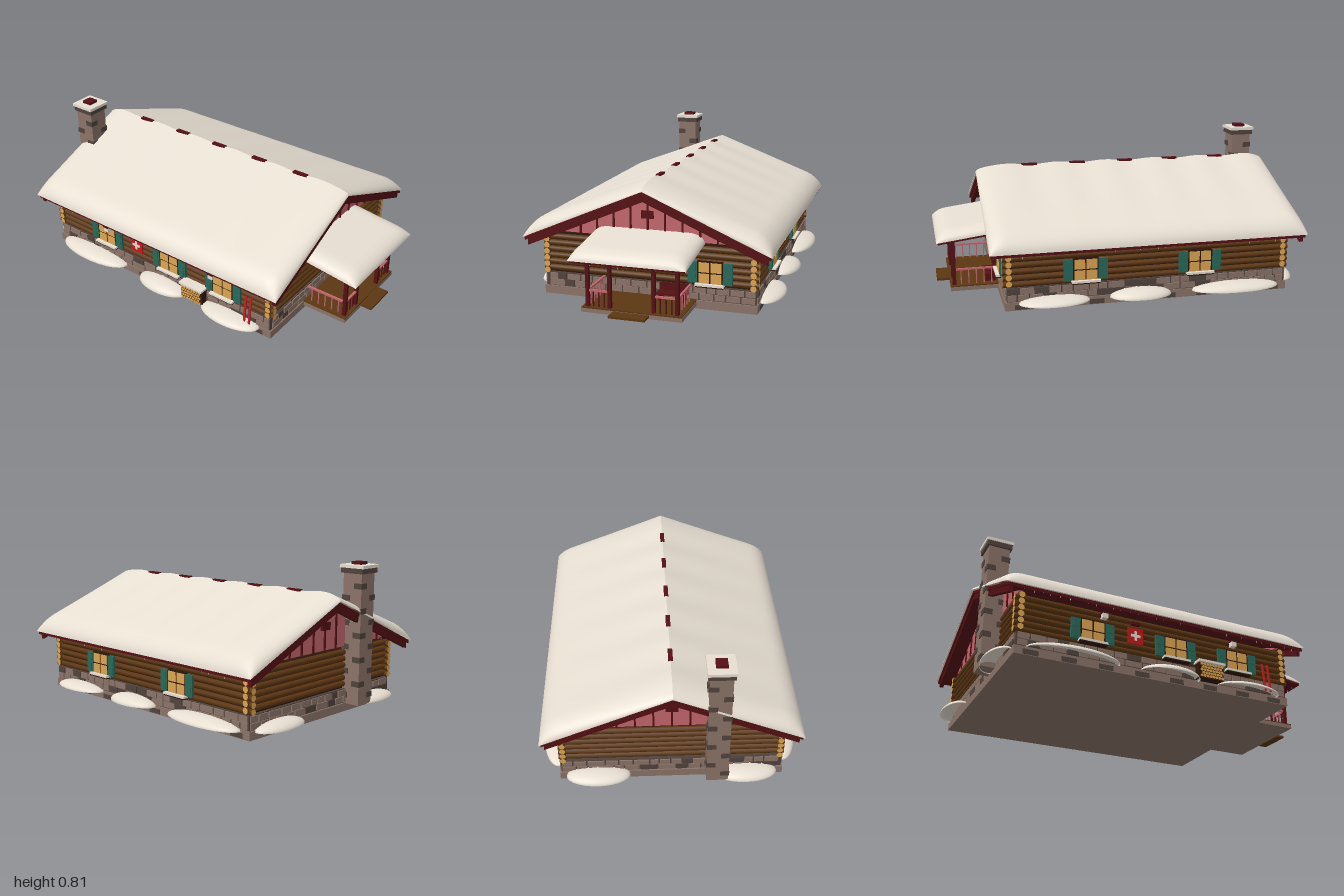
import * as THREE from 'three';

const mat = (name, color, side = THREE.FrontSide) => {
  const m = new THREE.MeshStandardMaterial({ color, side });
  m.name = name;
  return m;
};

export function createModel() {
  const snow = mat('snow', 0xeee5d8, THREE.DoubleSide);
  const stone = mat('stone', 0x8a7368);
  const darkStone = mat('darkStone', 0x51433d);
  const log = mat('log', 0x5c3612);
  const darkWood = mat('darkWood', 0x2c1508);
  const amber = mat('amber', 0xdca552);
  const maroon = mat('maroon', 0x541014);
  const rose = mat('rose', 0xc2666c);
  const red = mat('red', 0xc01a1c);
  const green = mat('green', 0x28685a);

  const model = new THREE.Group();
  model.name = 'logCabin';
  let seed = 7;
  const rand = () => (seed = (seed * 16807) % 2147483647) / 2147483647;

  const add = (name, geo, material, parent = model, x = 0, y = 0, z = 0) => {
    const m = new THREE.Mesh(geo, material);
    m.name = name;
    m.position.set(x, y, z);
    parent.add(m);
    return m;
  };
  const group = (name, parent = model) => {
    const g = new THREE.Group();
    g.name = name;
    parent.add(g);
    return g;
  };
  // Box given by its lower and upper limits on each axis
  const box = (name, material, x0, x1, y0, y1, z0, z1, parent = model) =>
    add(name, new THREE.BoxGeometry(x1 - x0, y1 - y0, z1 - z0), material, parent,
      (x0 + x1) / 2, (y0 + y1) / 2, (z0 + z1) / 2);

  // Foundation with darker blocks, and stone plinth
  const XL = -0.885, XR = 0.655, ZW = 0.575;
  box('foundation', stone, -0.905, 0.67, 0, 0.045, -0.595, 0.595);
  for (let i = 0; i < 8; i++) {
    const x = -0.82 + i * 0.2;
    for (const s of [-1, 1])
      add('foundationBlock', new THREE.BoxGeometry(0.08, 0.026, 0.006), darkStone, model, x, 0.017, s * 0.595);
  }
  box('plinth', darkStone, XL - 0.01, XR + 0.005, 0.045, 0.122, -0.587, 0.587);
  const stones = group('plinthStones');
  const stoneFace = (len, place) => {
    for (let row = 0; row < 2; row++) {
      let p = -len / 2;
      while (p < len / 2 - 0.02) {
        const w = Math.min(0.05 + rand() * 0.05, len / 2 - p);
        const m = add('stoneBlock', new THREE.BoxGeometry(w - 0.008, 0.03 + rand() * 0.004, 0.012),
          rand() < 0.8 ? stone : darkStone, stones);
        place(m, p + w / 2, 0.066 + row * 0.036);
        p += w;
      }
    }
  };
  const cx = (XL + XR) / 2;
  for (const s of [-1, 1]) {
    stoneFace(1.55, (m, p, y) => m.position.set(cx + p, y, s * 0.588));
    stoneFace(1.17, (m, p, y) => {
      m.position.set(s > 0 ? XR + 0.006 : XL - 0.011, y, p);
      m.rotation.y = Math.PI / 2;
    });
  }

  // Log walls with pale sawn ends crossing at the corners
  box('wallCore', darkWood, XL + 0.01, XR - 0.01, 0.1, 0.335, -ZW, ZW);
  const logs = group('logWalls');
  const logMats = [log, amber, amber];
  for (let i = 0; i < 6; i++) {
    const y = 0.139 + i * 0.035;
    for (const s of [-1, 1]) {
      const a = add('longLog', new THREE.CylinderGeometry(0.0165, 0.0165, 1.59, 12), logMats, logs, cx, y, s * 0.573);
      a.rotation.z = Math.PI / 2;
      const b = add('crossLog', new THREE.CylinderGeometry(0.0165, 0.0165, 1.195, 12), logMats, logs,
        s > 0 ? XR - 0.007 : XL + 0.007, y + 0.008, 0);
      b.rotation.x = Math.PI / 2;
    }
  }

  // Roof deck and verge boards are chevrons extruded along x
  const chevron = (name, material, top, half, thick, x0, x1) => {
    const e = top - 0.43 * half;
    const s = new THREE.Shape([[0, top], [-half, e], [-half, e - thick], [0, top - thick], [half, e - thick], [half, e]]
      .map(p => new THREE.Vector2(...p)));
    const g = new THREE.ExtrudeGeometry(s, { depth: x1 - x0, bevelEnabled: false });
    g.rotateY(Math.PI / 2);
    add(name, g, material, model, x0, 0, 0);
  };
  chevron('roofDeck', maroon, 0.621, 0.67, 0.018, -0.975, 0.745);
  chevron('vergeBoard', maroon, 0.619, 0.655, 0.05, 0.715, 0.738);
  chevron('vergeBoard', maroon, 0.619, 0.655, 0.05, -0.968, -0.945);

  // Gables with battens and a small loft window
  for (const s of [-1, 1]) {
    const g = group('gable');
    g.position.x = s > 0 ? XR - 0.01 : XL + 0.01;
    g.rotation.y = s * Math.PI / 2;
    const tri = new THREE.Shape([[-0.575, 0.355], [0.575, 0.355], [0, 0.603]].map(p => new THREE.Vector2(...p)));
    add('gableWall', new THREE.ExtrudeGeometry(tri, { depth: 0.02, bevelEnabled: false }), rose, g, 0, 0, -0.01);
    for (let i = -5; i <= 5; i++) {
      const h = 0.24 - Math.abs(i) * 0.095 * 0.43;
      add('batten', new THREE.BoxGeometry(0.01, h, 0.01), maroon, g, i * 0.095, 0.355 + h / 2, 0.012);
    }
    add('loftWindow', new THREE.BoxGeometry(0.065, 0.04, 0.02), maroon, g, 0, 0.485, 0.015);
  }

  // Rounded snow blanket: a grid lifted by a rule
  const sheet = (name, fx, fz, fy, nx, nz) => {
    const g = new THREE.PlaneGeometry(1, 1, nx, nz).rotateX(-Math.PI / 2);
    const p = g.attributes.position;
    for (let i = 0; i < p.count; i++) {
      const x = fx(p.getX(i) + 0.5), z = fz(p.getZ(i) + 0.5);
      p.setXYZ(i, x, fy(x, z), z);
    }
    g.computeVertexNormals();
    return add(name, g, snow);
  };
  const ease = u => 0.5 - 0.5 * Math.cos(Math.PI * u);
  const round = (d, r) => Math.sqrt(Math.max(0, 1 - Math.max(0, 1 - d / r) ** 2));
  const roofY = (x, z) => {
    const a = Math.abs(z);
    const edge = round(Math.min(x + 0.985, 0.752 - x), 0.1) * round(0.68 - a, 0.1);
    return 0.625 - 0.43 * a + edge * (0.036 + 0.055 * a + 0.005 * Math.cos(x * 22) * (1 - a / 0.68));
  };
  const along = u => -0.985 + 1.737 * ease(u);
  sheet('roofSnowFront', along, v => 0.68 * Math.sin(v * Math.PI / 2), roofY, 60, 18);
  sheet('roofSnowBack', along, v => -0.68 * Math.sin((1 - v) * Math.PI / 2), roofY, 60, 18);
  for (const x of [-0.68, -0.395, -0.12, 0.165, 0.445])
    box('ridgeCap', maroon, x - 0.045, x + 0.045, 0.645, 0.663, -0.012, 0.012);

  // Icicles under the eaves
  const icicles = group('icicles');
  const icicle = (x, y, z) => {
    const h = 0.012 + rand() * 0.025;
    add('icicle', new THREE.ConeGeometry(0.004, h, 5), snow, icicles, x, y - h / 2, z).rotation.x = Math.PI;
  };
  for (let i = 0; i < 36; i++) for (const s of [-1, 1]) icicle(-0.95 + i * 0.0475 + rand() * 0.02, 0.334, s * 0.665);
  for (let i = 0; i < 11; i++) icicle(0.975, 0.312, -0.25 + i * 0.05);

  // Chimney
  const chimney = group('chimney');
  box('chimneyStack', stone, -0.982, -0.867, 0.04, 0.76, 0.18, 0.295, chimney);
  for (let i = 0; i < 10; i++)
    for (const [x, z, k] of [[-0.962, 0.275, 0], [-0.887, 0.2, 0], [-0.962, 0.2, 1], [-0.887, 0.275, 1]])
      if (i % 2 === k)
        add('quoin', new THREE.BoxGeometry(0.048, 0.03, 0.048), darkStone, chimney, x, 0.09 + i * 0.066, z);
  box('chimneyCap', darkStone, -0.993, -0.856, 0.75, 0.78, 0.17, 0.305, chimney);
  box('capSnow', snow, -1, -0.85, 0.778, 0.795, 0.165, 0.31, chimney);
  box('flue', maroon, -0.955, -0.895, 0.79, 0.81, 0.208, 0.268, chimney);

  // Shuttered windows, built facing +z
  const windowAt = (x, z, turn) => {
    const g = group('window');
    g.position.set(x, 0.2, z);
    g.rotation.y = turn;
    add('windowFrame', new THREE.BoxGeometry(0.138, 0.126, 0.014), darkWood, g);
    for (const sx of [-1, 1]) {
      for (const sy of [-1, 1])
        add('pane', new THREE.BoxGeometry(0.057, 0.053, 0.006), amber, g, sx * 0.0325, sy * 0.03, 0.007);
      add('shutter', new THREE.BoxGeometry(0.05, 0.116, 0.014), green, g, sx * 0.094, 0, 0.002);
      for (const sy of [-1, 1])
        add('shutterPanel', new THREE.BoxGeometry(0.032, 0.042, 0.006), green, g, sx * 0.094, sy * 0.027, 0.009);
    }
    add('sill', new THREE.BoxGeometry(0.15, 0.01, 0.03), darkWood, g, 0, -0.07, 0.01);
    add('sillSnow', new THREE.BoxGeometry(0.155, 0.012, 0.034), snow, g, 0, -0.062, 0.012);
  };
  for (const x of [-0.497, -0.022, 0.355]) windowAt(x, 0.592, 0);
  for (const x of [-0.395, 0.24]) windowAt(x, -0.592, Math.PI);
  windowAt(0.667, -0.342, Math.PI / 2);

  // Banner with a cross
  const banner = group('banner');
  box('bannerCloth', red, -0.304, -0.217, 0.176, 0.266, 0.596, 0.604, banner);
  box('crossUpright', snow, -0.268, -0.253, 0.195, 0.249, 0.603, 0.607, banner);
  box('crossBar', snow, -0.288, -0.233, 0.2145, 0.2295, 0.603, 0.607, banner);
  box('bannerBracket', maroon, -0.285, -0.235, 0.285, 0.3, 0.59, 0.61, banner);

  // Wall lanterns
  for (const x of [-0.45, 0.31]) {
    box('lanternBracket', darkWood, x - 0.006, x + 0.006, 0.296, 0.306, 0.585, 0.645);
    box('lantern', snow, x - 0.015, x + 0.015, 0.264, 0.29, 0.62, 0.65);
    box('lanternCap', maroon, x - 0.018, x + 0.018, 0.29, 0.297, 0.617, 0.653);
  }

  // Firewood rack
  const rack = group('firewoodRack');
  box('rackBack', darkWood, 0.095, 0.24, 0.048, 0.135, 0.59, 0.635, rack);
  for (let r = 0; r < 5; r++)
    for (let c = 0; c < 8 - r % 2; c++)
      add('splitLog', new THREE.CylinderGeometry(0.0085, 0.0085, 0.05, 8), logMats, rack,
        0.106 + (c + r % 2 * 0.5) * 0.0175, 0.058 + r * 0.0165, 0.62).rotation.x = Math.PI / 2;
  box('rackSnow', snow, 0.088, 0.247, 0.135, 0.148, 0.59, 0.65, rack);

  // Skis leaning on the front wall
  for (const x of [0.515, 0.547]) {
    const ski = add('ski', new THREE.BoxGeometry(0.012, 0.165, 0.006), red, model, x, 0.135, 0.612);
    ski.rotation.x = -0.12;
  }

  // Snow drifts
  const drift = (x, z, rx, rz, h) =>
    add('snowDrift', new THREE.SphereGeometry(1, 28, 8, 0, Math.PI * 2, 0, Math.PI / 2), snow, model, x, 0.036, z)
      .scale.set(rx, h, rz);
  for (const s of [-1, 1]) {
    drift(-0.6, s * 0.605, 0.25, 0.092, 0.04);
    drift(-0.06, s * 0.605, 0.17, 0.09, 0.045);
    drift(0.41, s * 0.605, 0.19, 0.09, 0.035);
    drift(-0.92, s * 0.39, 0.08, 0.17, 0.04);
  }

  // Porch
  const porch = group('porch');
  box('porchSlab', stone, 0.66, 0.93, 0.018, 0.04, -0.27, 0.27, porch);
  box('porchFloor', log, 0.66, 0.93, 0.04, 0.046, -0.268, 0.268, porch);
  box('step', log, 0.92, 0.998, 0.026, 0.038, -0.097, 0.097, porch);
  for (const z of [-0.24, -0.115, 0.12, 0.24])
    box('porchPost', maroon, 0.899, 0.919, 0.045, 0.318, z - 0.009, z + 0.009, porch);
  box('porchBeam', maroon, 0.897, 0.921, 0.298, 0.318, -0.27, 0.27, porch);
  for (const s of [-1, 1]) {
    const z = s * 0.24, za = Math.min(s * 0.12, z), zb = Math.max(s * 0.12, z);
    box('sideRail', rose, 0.675, 0.905, 0.127, 0.137, z - 0.006, z + 0.006, porch);
    box('frontRail', rose, 0.903, 0.915, 0.127, 0.137, za, zb, porch);
    for (let i = 0; i < 5; i++)
      box('baluster', rose, 0.7 + i * 0.042, 0.706 + i * 0.042, 0.046, 0.128, z - 0.003, z + 0.003, porch);
    for (let i = 1; i < 4; i++) {
      const b = za + i * 0.03;
      box('baluster', maroon, 0.906, 0.912, 0.046, 0.128, b - 0.003, b + 0.003, porch);
    }
  }
  box('benchSeat', maroon, 0.67, 0.74, 0.08, 0.09, -0.23, -0.07, porch);
  box('benchBack', maroon, 0.67, 0.68, 0.08, 0.13, -0.23, -0.07, porch);
  for (const z of [-0.22, -0.09]) box('benchLeg', maroon, 0.675, 0.735, 0.046, 0.08, z, z + 0.012, porch);

  // Porch roof
  const porchBase = x => 0.355 - 0.13 * (x - 0.66);
  const deck = add('porchDeck', new THREE.BoxGeometry(0.335, 0.014, 0.6), maroon, porch, 0.826, 0.3235, 0);
  deck.rotation.z = -Math.atan(0.13);
  sheet('porchSnow', u => 0.65 + 0.35 * Math.sin(u * Math.PI / 2), v => -0.31 + 0.62 * ease(v),
    (x, z) => porchBase(x) + 0.052 * round(1 - x, 0.08) * round(0.31 - Math.abs(z), 0.09) - 0.004, 16, 28);

  return model;
}
